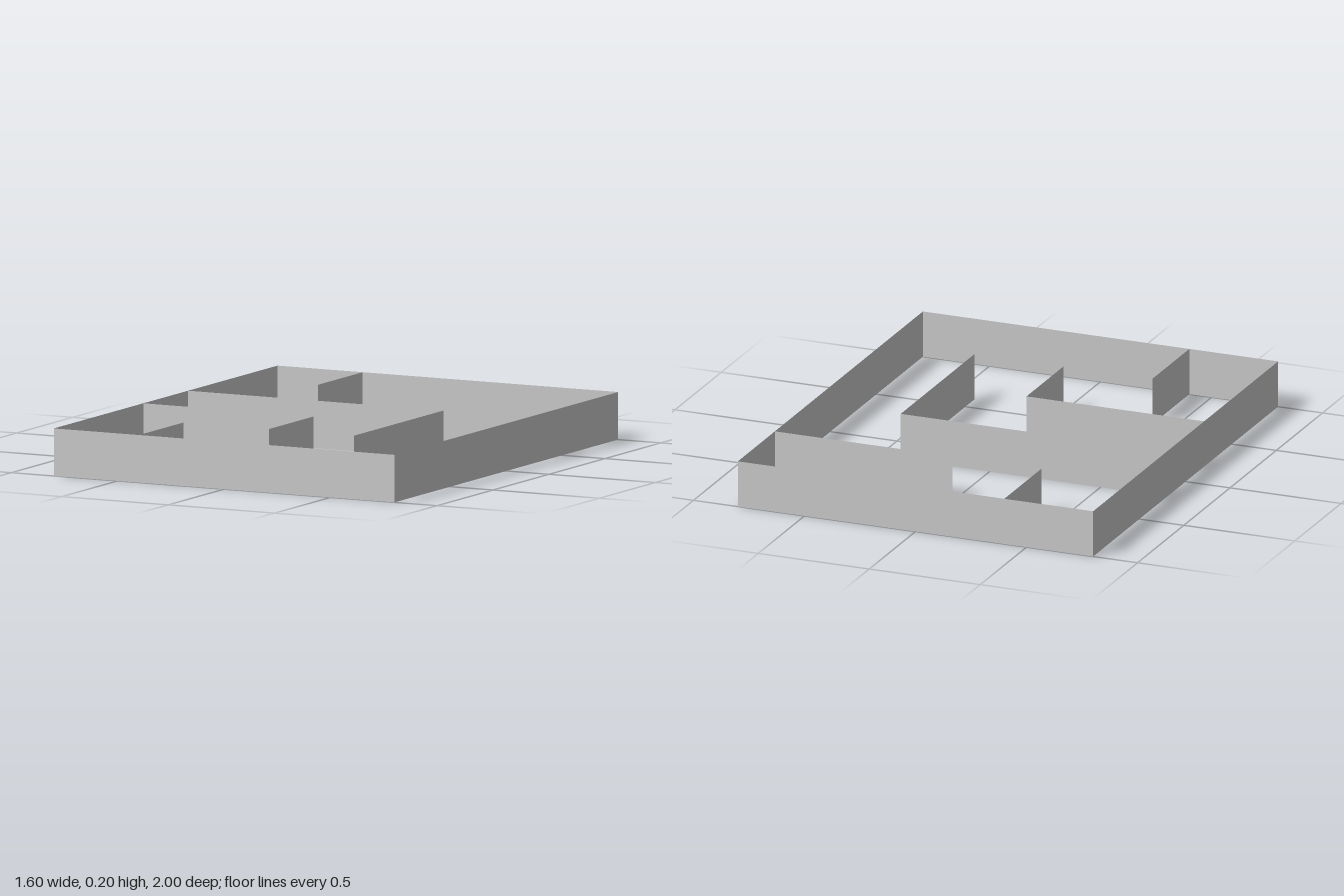
import * as THREE from 'three';

const HEIGHT = 0.2;

// Upright, paper-thin wall following a list of [x, z] floor points
function wall(name, points, material) {
  const group = new THREE.Group();
  group.name = name;
  for (let i = 0; i < points.length - 1; i++) {
    const [x0, z0] = points[i];
    const [x1, z1] = points[i + 1];
    const panel = new THREE.Mesh(
      new THREE.PlaneGeometry(Math.hypot(x1 - x0, z1 - z0), HEIGHT), material);
    panel.name = `${name}Panel${i + 1}`;
    panel.position.set((x0 + x1) / 2, HEIGHT / 2, (z0 + z1) / 2);
    panel.rotation.y = -Math.atan2(z1 - z0, x1 - x0);
    group.add(panel);
  }
  return group;
}

export function createModel() {
  const model = new THREE.Group();
  model.name = 'maze';
  const material = new THREE.MeshStandardMaterial({
    color: 0xcccccc, side: THREE.DoubleSide, flatShading: true });

  const walls = {
    // Closed rectangular enclosure
    outerWall: [[-0.8, 1], [0.8, 1], [0.8, -1], [-0.8, -1], [-0.8, 1]],
    // L-shaped partitions from the right side
    longCornerWall: [[-0.8, -0.2], [0.4, -0.2], [0.4, 0.6]],
    shortCornerWall: [[-0.8, 0.2], [0, 0.2], [0, 0.6]],
    // Straight stubs
    frontStub: [[-0.4, 1], [-0.4, 0.6]],
    backStub: [[-0.4, -1], [-0.4, -0.6]],
    leftPartition: [[0.8, -0.6], [0, -0.6]],
  };
  for (const [name, points] of Object.entries(walls)) model.add(wall(name, points, material));
  return model;
}
